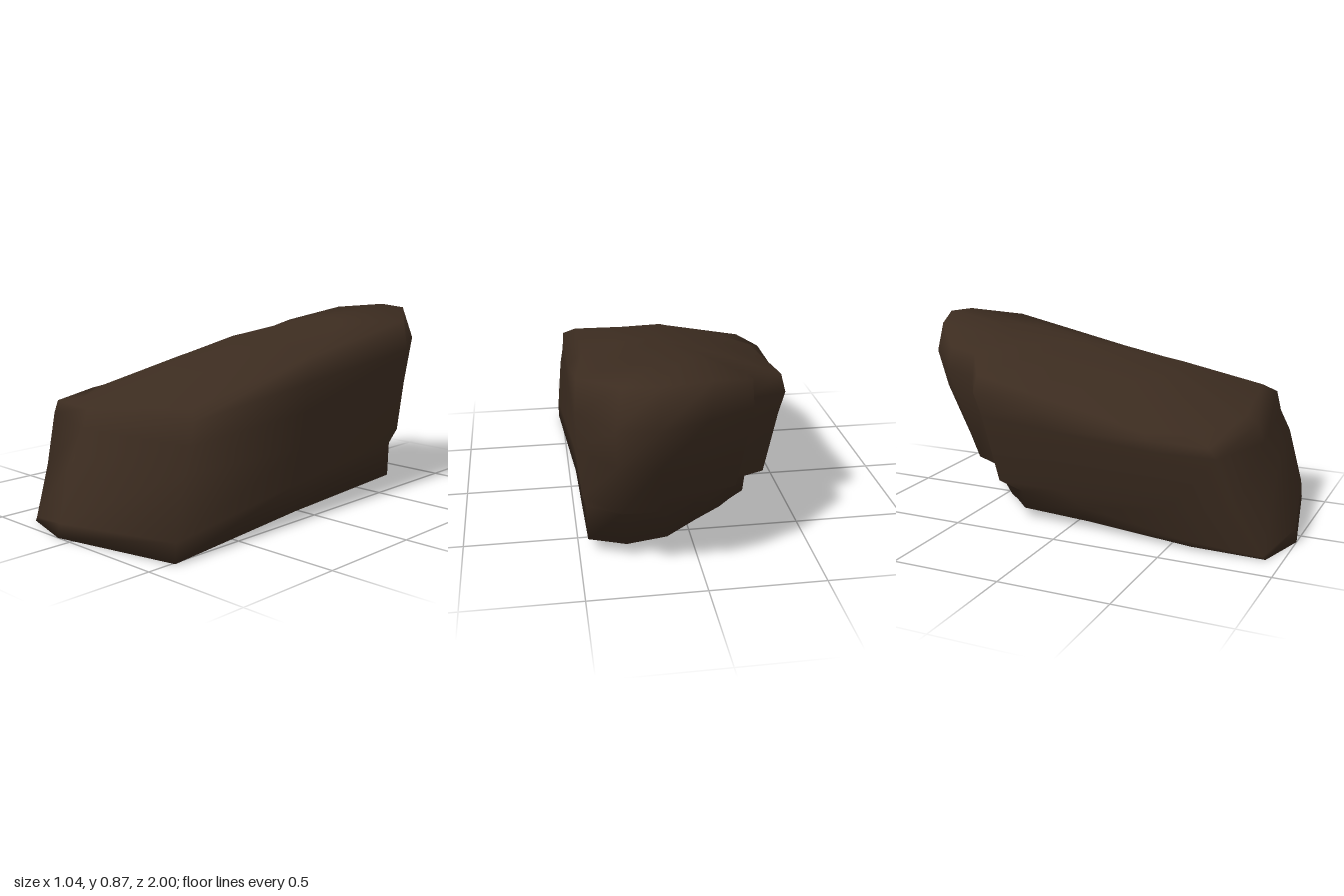
import * as THREE from 'three';

// Key outlines as [x, z], running back -> +x side -> front -> -x side
const base = [[.12, -.65], [.3, -.69], [.46, -.62], [.47, .1], [.52, .88], [-.08, 1],
  [-.34, .93], [-.36, .6], [-.31, .08], [-.3, -.25], [-.22, -.33], [-.16, -.4], [-.02, -.52]];
const shoulder = [[.2, -1], [.36, -.95], [.5, -.7], [.49, .05], [.48, .74], [-.1, .81],
  [-.46, .7], [-.52, .45], [-.48, -.1], [-.44, -.43], [-.25, -.55], [-.24, -.69], [-.02, -.89]];
const rim = [[.18, -.93], [.33, -.9], [.49, -.68], [.43, -.05], [.42, .68], [-.08, .75],
  [-.36, .63], [-.47, .42], [-.44, -.1], [-.42, -.42], [-.24, -.54], [-.235, -.67], [-.04, -.84]];

const blend = (from, to, t) => from.map(([x, z], i) => [
  THREE.MathUtils.lerp(x, to[i][0], t),
  THREE.MathUtils.lerp(z, to[i][1], t),
]);

// Lays an outline on a plane tilted along z, with the -x half dropped by tilt
const ring = (outline, y, slope, tilt) =>
  outline.map(([x, z]) => [x, y + slope * z + tilt * Math.min(x, 0), z]);

function rockGeometry() {
  const crown = rim.map(([x, z]) => [.05 + x * .5, -.045 + z * .55]);
  const rings = [
    ring(base, .04, -.037, 0),
    ring(blend(base, shoulder, .05), .17, -.09, .2), // foot, stepped in at the back
    ring(blend(base, shoulder, .52), .32, .04, .3), // start of the overhang
    ring(blend(base, shoulder, .85), .49, -.05, 0), // belly
    ring(shoulder, .62, -.1, .1),
    ring(rim, .71, -.18, .2),
    ring(crown, .75, -.15, .2), // low dome
  ];
  const n = base.length;
  const top = rings.length * n;
  const bottom = top + 1;
  const position = [...rings.flat(2), .1, .785, -.1, .08, .03, .15];
  const index = [];
  for (let i = 0; i < n; i++) {
    const j = (i + 1) % n;
    for (let a = i, b = j; a < top - n; a += n, b += n) {
      index.push(a, a + n, b, b, a + n, b + n);
    }
    index.push(top - n + i, top, top - n + j); // top cap
    index.push(i, j, bottom); // underside
  }
  const geometry = new THREE.BufferGeometry();
  geometry.setAttribute('position', new THREE.Float32BufferAttribute(position, 3));
  geometry.setIndex(index);
  geometry.computeVertexNormals();
  return geometry;
}

export function createModel() {
  const group = new THREE.Group();
  group.name = 'boulder';
  const stone = new THREE.MeshStandardMaterial({ color: 0x3c2c20 });
  stone.name = 'dark brown stone';
  const rock = new THREE.Mesh(rockGeometry(), stone);
  rock.name = 'rock';
  group.add(rock);
  return group;
}
